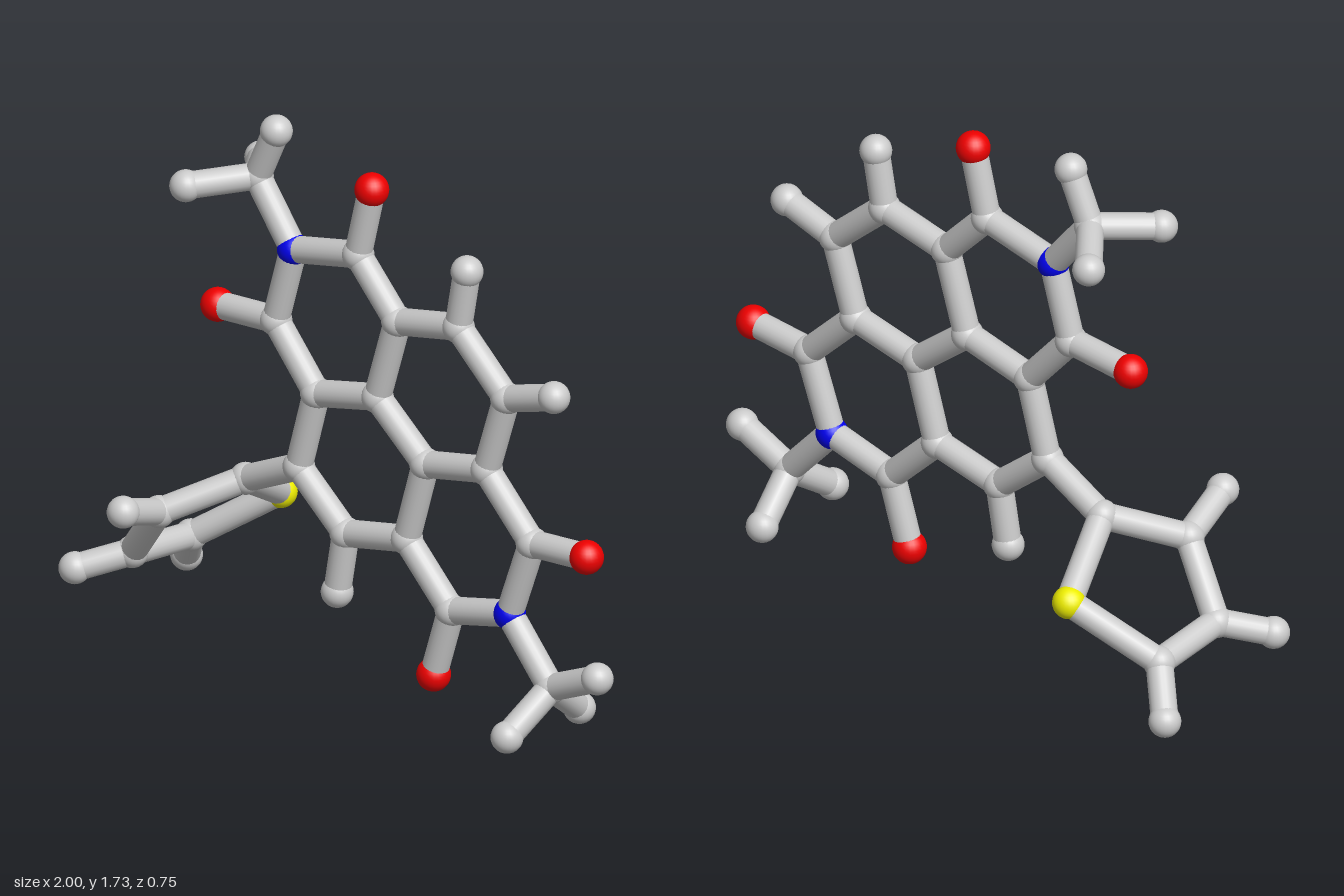
import * as THREE from 'three';

const ATOM = 0.05, BOND = 0.042;
const grey = new THREE.MeshStandardMaterial({ color: 0xcccccc });
const red = new THREE.MeshStandardMaterial({ color: 0xee0000 });
const blue = new THREE.MeshStandardMaterial({ color: 0x0000ee });
const yellow = new THREE.MeshStandardMaterial({ color: 0xeeee00 });

// element -> name, material, radius
const ELEMENTS = {
  C: ['carbon', grey, ATOM],
  H: ['hydrogen', grey, ATOM],
  N: ['nitrogen', blue, ATOM],
  O: ['oxygen', red, 0.053],
  S: ['sulfur', yellow, 0.051],
};

// the fused rings lie in one slightly tilted plane
const flat = (x, y) => [x, y, -0.06 - 0.035 * x - 0.028 * y];

// key (first letter = element): position
const ATOMS = {
  // fused ring core
  C3: flat(0.115, 1.21), C4: flat(0.36, 1.265), C5: flat(0.56, 1.09),
  C6: flat(0.485, 0.835), C7: flat(0.24, 0.78), C8: flat(0.04, 0.94),
  C9: flat(-0.205, 0.88), C10: flat(-0.27, 0.62), C11: flat(-0.075, 0.46),
  C12: flat(0.17, 0.515),
  H4: flat(0.39, 1.455), H5: flat(0.75, 1.15), H11: flat(-0.105, 0.26),
  // upper imide ring
  C1: flat(-0.05, 1.38), N1: flat(-0.31, 1.32), C2: flat(-0.375, 1.07),
  O1: flat(0, 1.607), O2: flat(-0.61, 1.05),
  // lower imide ring
  C13: flat(0.355, 0.335), N2: flat(0.59, 0.395), C14: flat(0.675, 0.65),
  O13: flat(0.29, 0.107), O14: flat(0.895, 0.67),
  // upper methyl group
  C15: [-0.47, 1.51, -0.095], H15: [-0.395, 1.68, -0.1],
  H16: [-0.605, 1.49, 0.076], H17: [-0.61, 1.477, -0.255],
  // lower methyl group
  C18: [0.765, 0.205, -0.09], H18: [0.952, 0.29, -0.097],
  H19: [0.745, 0.09, 0.08], H20: [0.735, 0.08, -0.245],
  // five-sided side ring
  C20: [-0.495, 0.51, -0.07], S1: [-0.595, 0.353, -0.327],
  C21: [-0.835, 0.18, -0.185], C22: [-0.83, 0.21, 0.075],
  C23: [-0.66, 0.415, 0.135],
  H21: [-0.942, 0.053, -0.277], H22: [-0.945, 0.163, 0.205],
  H23: [-0.625, 0.486, 0.327],
};

// chains of bonded atoms
const CHAINS = {
  coreBond: ['C3 C4 C5 C6 C7 C8 C3', 'C8 C9 C10 C11 C12 C7', 'C4 H4', 'C5 H5', 'C11 H11'],
  upperImideBond: ['C3 C1 N1 C2 C9', 'C1 O1', 'C2 O2'],
  lowerImideBond: ['C12 C13 N2 C14 C6', 'C13 O13', 'C14 O14'],
  upperMethylBond: ['N1 C15 H15', 'C15 H16', 'C15 H17'],
  lowerMethylBond: ['N2 C18 H18', 'C18 H19', 'C18 H20'],
  sideRingBond: ['C10 C20 S1 C21 C22 C23 C20', 'C21 H21', 'C22 H22', 'C23 H23'],
};

export function createModel() {
  const model = new THREE.Group();
  model.name = 'molecule';
  const sphere = new THREE.SphereGeometry(1, 24, 16);
  const rod = new THREE.CylinderGeometry(BOND, BOND, 1, 20, 1, true);
  const up = new THREE.Vector3(0, 1, 0);

  // atoms
  for (const [key, pos] of Object.entries(ATOMS)) {
    const [name, material, radius] = ELEMENTS[key[0]];
    const atom = new THREE.Mesh(sphere, material);
    atom.name = name;
    atom.position.set(...pos);
    atom.scale.setScalar(radius);
    model.add(atom);
  }

  // bonds, one rod between each pair of neighbours in a chain
  for (const [name, chains] of Object.entries(CHAINS)) {
    const group = new THREE.Group();
    group.name = name + 's';
    for (const chain of chains) {
      const points = chain.split(' ').map((key) => new THREE.Vector3(...ATOMS[key]));
      for (let i = 1; i < points.length; i++) {
        const dir = points[i].clone().sub(points[i - 1]);
        const bond = new THREE.Mesh(rod, grey);
        bond.name = name;
        bond.position.copy(points[i]).add(points[i - 1]).multiplyScalar(0.5);
        bond.scale.y = dir.length();
        bond.quaternion.setFromUnitVectors(up, dir.normalize());
        group.add(bond);
      }
    }
    model.add(group);
  }
  return model;
}
